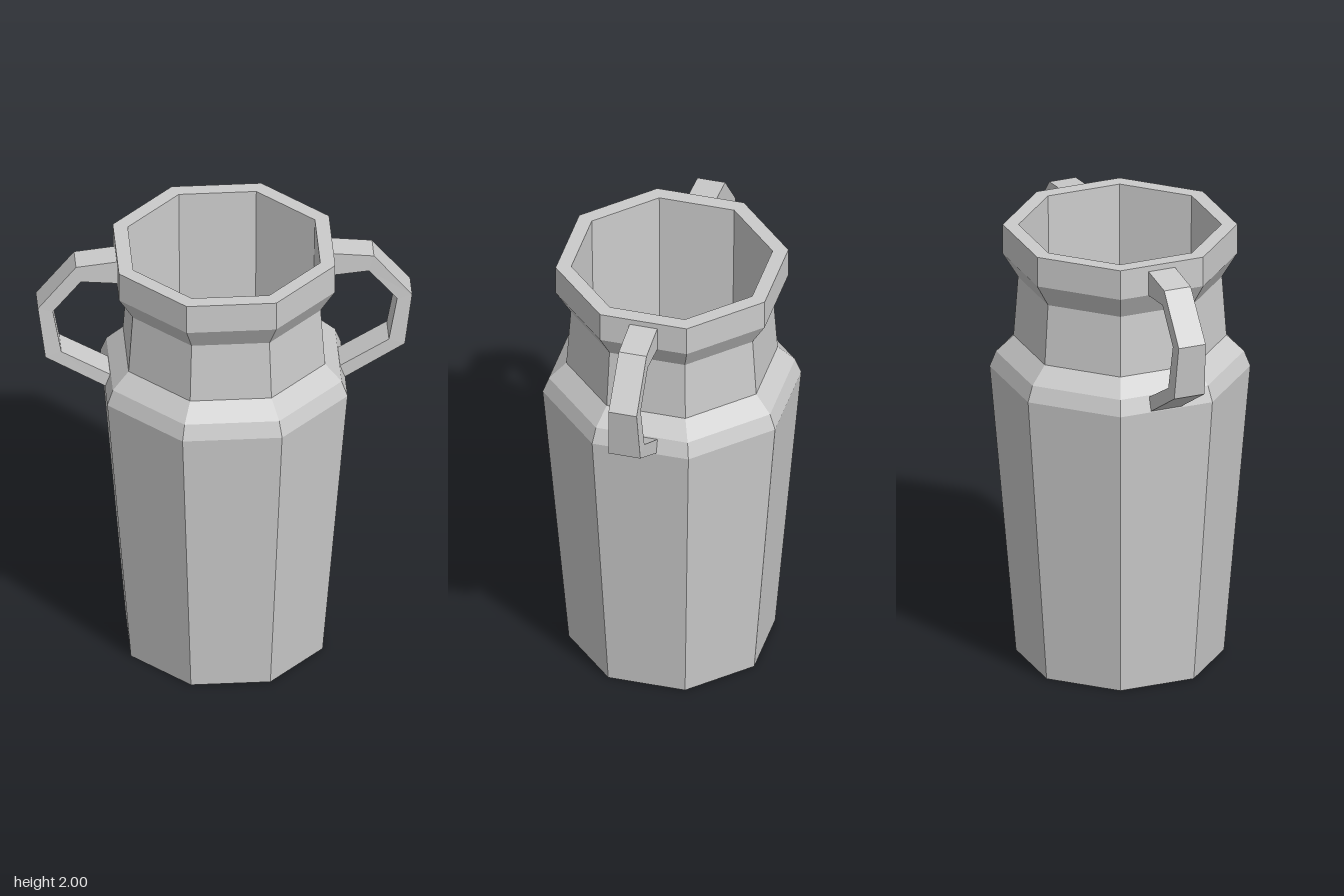
import * as THREE from 'three';

const SIDES = 8;

export function createModel() {
  const model = new THREE.Group();
  model.name = 'twoHandledJug';
  const material = new THREE.MeshStandardMaterial({ color: 0xcccccc, flatShading: true });

  // Hollow octagonal body: [distance from axis to flat side, height]
  const profile = [
    [0, 0], [0.415, 0], [0.52, 1.335], [0.495, 1.405], [0.425, 1.48],
    [0.407, 1.755], [0.468, 1.863], [0.468, 2],  // shoulder, neck, flared lip
    [0.405, 2], [0.375, 0.06], [0, 0.06],        // rim, inner wall, inner floor
  ].map(([flat, y]) => new THREE.Vector2(flat / Math.cos(Math.PI / SIDES), y));
  const body = new THREE.Mesh(
    new THREE.LatheGeometry(profile, SIDES, Math.PI / SIDES), material);
  body.name = 'body';
  model.add(body);

  // Angular handle outline, with both ends sunk slightly into the body
  const outline = [
    [0.45, 1.976], [0.645, 1.954], [0.81, 1.748], [0.778, 1.5], [0.515, 1.337],
    [0.48, 1.388], [0.709, 1.525], [0.745, 1.73], [0.624, 1.878], [0.45, 1.861],
  ].map(([x, y]) => new THREE.Vector2(x, y));
  const handleGeometry = new THREE.ExtrudeGeometry(new THREE.Shape(outline), {
    depth: 2, bevelEnabled: false,
  });
  handleGeometry.translate(0, 0, -1);

  // The handle is a little wider towards its lower end
  const pos = handleGeometry.attributes.position;
  for (let i = 0; i < pos.count; i++) {
    const halfWidth = THREE.MathUtils.clamp(
      THREE.MathUtils.mapLinear(pos.getY(i), 1.5, 1.75, 0.071, 0.063), 0.062, 0.071);
    pos.setZ(i, pos.getZ(i) * halfWidth);
  }
  handleGeometry.computeVertexNormals();

  for (const [name, turn] of [['leftHandle', 0], ['rightHandle', Math.PI]]) {
    const handle = new THREE.Mesh(handleGeometry, material);
    handle.name = name;
    handle.rotation.y = turn;
    model.add(handle);
  }

  return model;
}
